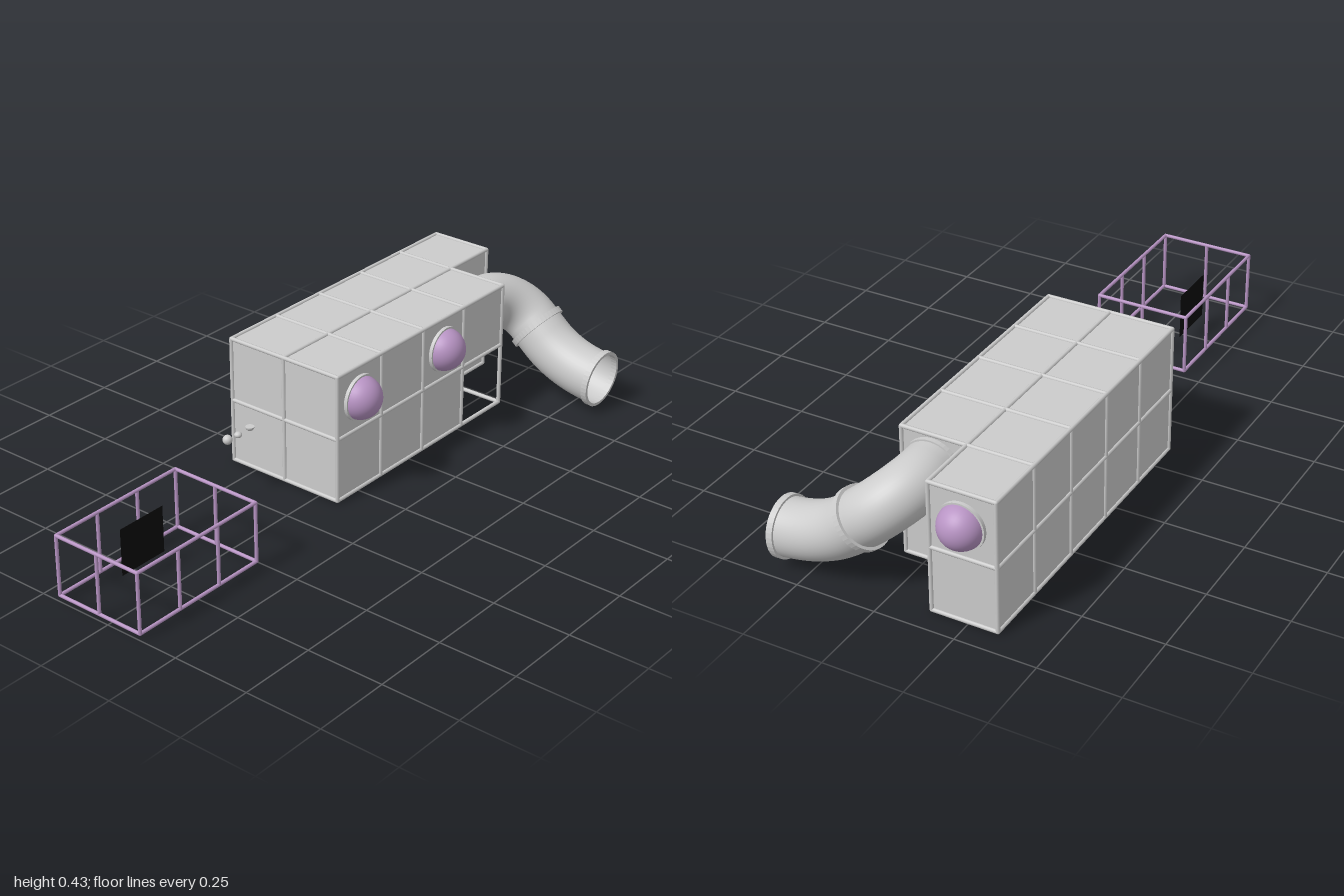
import * as THREE from 'three';

const V = (x, y, z) => new THREE.Vector3(x, y, z);
const grey = new THREE.MeshStandardMaterial({ color: 0xcccccc });
const greyOpen = new THREE.MeshStandardMaterial({ color: 0xcccccc, side: THREE.DoubleSide });
const purple = new THREE.MeshStandardMaterial({ color: 0xb894c4 });
const black = new THREE.MeshStandardMaterial({ color: 0x0c0c0c, side: THREE.DoubleSide });

function add(parent, name, geometry, material, pos = V(0, 0, 0)) {
  const m = new THREE.Mesh(geometry, material);
  m.name = name;
  m.position.copy(pos);
  parent.add(m);
  return m;
}

// Turn a mesh's own axis towards a direction
const aim = (mesh, from, dir) => mesh.quaternion.setFromUnitVectors(from, dir.clone().normalize());

// Round bar between two points, with a ball at each end to close the corners
function rod(parent, name, a, b, r, material) {
  const d = b.clone().sub(a);
  const m = add(parent, name, new THREE.CylinderGeometry(r, r, d.length(), 10), material, a.clone().add(b).multiplyScalar(0.5));
  aim(m, V(0, 1, 0), d);
  for (const p of [a, b]) add(parent, name + 'Joint', new THREE.SphereGeometry(r, 10, 6), material, p);
}

// Modular block: grid lines and which cells are filled
const X = [-0.098, 0.108, 0.314, 0.52, 0.726, 0.924];
const Y = [0.009, 0.215, 0.421];
const Z = [-0.341, -0.136, 0.069];
const filled = (i, j, k) => i >= 0 && j >= 0 && k >= 0 && i < 5 && j < 2 && k < 2 && !(i === 4 && k === 1);
const isOpen = (i, j, k) => i === 3 && j === 0 && k === 1;

function makeBlock() {
  const g = new THREE.Group();
  g.name = 'modularBlock';
  const seen = new Set();
  const lines = [X, Y, Z];
  const at = (n) => V(X[n[0]], Y[n[1]], Z[n[2]]);
  for (let i = 0; i < 5; i++) for (let j = 0; j < 2; j++) for (let k = 0; k < 2; k++) {
    if (!filled(i, j, k)) continue;
    const cell = [i, j, k];
    for (let axis = 0; axis < 3; axis++) {
      const u = (axis + 1) % 3, v = (axis + 2) % 3;
      // Frame bars along this axis, each shared bar made once
      for (const du of [0, 1]) for (const dv of [0, 1]) {
        const a = [...cell];
        a[u] += du;
        a[v] += dv;
        const b = [...a];
        b[axis]++;
        const key = a.join() + '|' + axis;
        if (seen.has(key)) continue;
        seen.add(key);
        rod(g, 'frameBar', at(a), at(b), 0.0065, grey);
      }
      // Outer panels, plus the inner walls of the open cell
      for (const s of [-1, 1]) {
        const next = [...cell];
        next[axis] += s;
        const doorway = axis === 2 && s === 1 && isOpen(...cell);
        const innerWall = filled(...next) && isOpen(...next) && axis !== 1;
        if (doorway || (filled(...next) && !innerWall)) continue;
        const size = lines.map((l, n) => l[cell[n] + 1] - l[cell[n]]);
        const mid = lines.map((l, n) => (l[cell[n] + 1] + l[cell[n]]) / 2);
        mid[axis] = lines[axis][cell[axis] + (s > 0 ? 1 : 0)];
        const wh = axis === 0 ? [size[2], size[1]] : axis === 1 ? [size[0], size[2]] : [size[0], size[1]];
        const p = add(g, 'panel', new THREE.PlaneGeometry(...wh), grey, V(...mid));
        if (axis === 0) p.rotation.y = s * Math.PI / 2;
        if (axis === 1) p.rotation.x = -s * Math.PI / 2;
        if (axis === 2 && s < 0) p.rotation.y = Math.PI;
      }
    }
  }
  return g;
}

// Domed window on a flat round collar
function makeDome(pos, dir) {
  const g = new THREE.Group();
  g.name = 'domeWindow';
  const collar = add(g, 'domeCollar', new THREE.CylinderGeometry(0.073, 0.073, 0.014, 40), grey);
  collar.position.y = 0.004;
  add(g, 'dome', new THREE.SphereGeometry(0.068, 36, 12, 0, Math.PI * 2, 0, Math.PI / 2), purple, V(0, 0.003, 0));
  g.position.copy(pos);
  aim(g, V(0, 1, 0), dir);
  return g;
}

// Bent pipe: sideways out of the block, round the elbow, down and forward
function makePipe() {
  const g = new THREE.Group();
  g.name = 'bentPipe';
  const d = V(0, -0.643, 0.766);
  const start = V(0.726, 0.32, -0.03), a = V(0.77, 0.32, -0.03), corner = V(0.903, 0.32, -0.03);
  const b = corner.clone().addScaledVector(d, 0.133);
  const ring = corner.clone().addScaledVector(d, 0.157);
  const c = corner.clone().addScaledVector(d, 0.2);
  const end = V(0.903, 0.11, 0.337);
  const path = new THREE.CurvePath();
  path.add(new THREE.LineCurve3(start, a));
  path.add(new THREE.CubicBezierCurve3(a, a.clone().lerp(corner, 0.552), b.clone().lerp(corner, 0.552), b));
  path.add(new THREE.LineCurve3(b, c));
  path.add(new THREE.QuadraticBezierCurve3(c, V(0.903, 0.122, 0.205), end));
  add(g, 'pipe', new THREE.TubeGeometry(path, 64, 0.086, 40), greyOpen);

  // Collars at the wall, the joint and the mouth
  const collar = (name, pos, dir, outer, length) => {
    const profile = [[0.083, -0.5], [outer, -0.5], [outer, 0.5], [0.083, 0.5], [0.083, -0.5]]
      .map(([r, t]) => new THREE.Vector2(r, t * length));
    const geo = new THREE.LatheGeometry(profile, 40).toNonIndexed();
    geo.computeVertexNormals();
    aim(add(g, name, geo, greyOpen, pos), V(0, 1, 0), dir);
  };
  collar('wallCollar', V(0.734, 0.32, -0.03), V(1, 0, 0), 0.091, 0.014);
  collar('jointCollar', ring, d, 0.095, 0.02);
  collar('mouthCollar', end, V(0, -0.08, 1), 0.093, 0.02);
  return g;
}

// Separate open cage with a dark screen inside
function makeCage() {
  const g = new THREE.Group();
  g.name = 'openCage';
  const x0 = -0.993, x1 = -0.517, y0 = 0.018, y1 = 0.21, z0 = -0.19, z1 = 0.115;
  const bar = (name, a, b) => rod(g, name, a, b, 0.0055, purple);
  for (const y of [y0, y1]) {
    for (const z of [z0, z1]) bar('cageRail', V(x0, y, z), V(x1, y, z));
    for (const x of [x0, x1]) bar('cageRail', V(x, y, z0), V(x, y, z1));
  }
  for (let i = 0; i < 4; i++) {
    const x = x0 + (x1 - x0) * i / 3;
    for (const z of [z0, z1]) bar('cagePost', V(x, y0, z), V(x, y1, z));
  }
  for (const x of [x0, x1]) bar('cagePost', V(x, y0, (z0 + z1) / 2), V(x, y1, (z0 + z1) / 2));
  add(g, 'screen', new THREE.PlaneGeometry(0.17, 0.15), black, V(-0.753, 0.115, -0.1));
  return g;
}

// Three small loose studs: a ball, a flattened ball and a half ball
function makeStuds() {
  const g = new THREE.Group();
  g.name = 'looseStuds';
  add(g, 'ballStud', new THREE.SphereGeometry(0.015, 20, 12), grey, V(-0.292, 0.21, -0.19));
  add(g, 'flatStud', new THREE.SphereGeometry(0.012, 20, 12), grey, V(-0.245, 0.207, -0.19)).scale.y = 0.8;
  add(g, 'halfStud', new THREE.SphereGeometry(0.014, 20, 8, 0, Math.PI * 2, Math.PI / 2, Math.PI / 2), grey, V(-0.192, 0.213, -0.19));
  add(g, 'halfStudTop', new THREE.CircleGeometry(0.014, 20), grey, V(-0.192, 0.213, -0.19)).rotation.x = -Math.PI / 2;
  return g;
}

export function createModel() {
  const model = new THREE.Group();
  model.name = 'modularHabitat';
  model.add(makeBlock(), makePipe(), makeCage(), makeStuds());
  for (const x of [0.005, 0.417]) model.add(makeDome(V(x, 0.318, 0.069), V(0, 0, 1)));
  model.add(makeDome(V(0.924, 0.318, -0.238), V(1, 0, 0)));
  return model;
}
